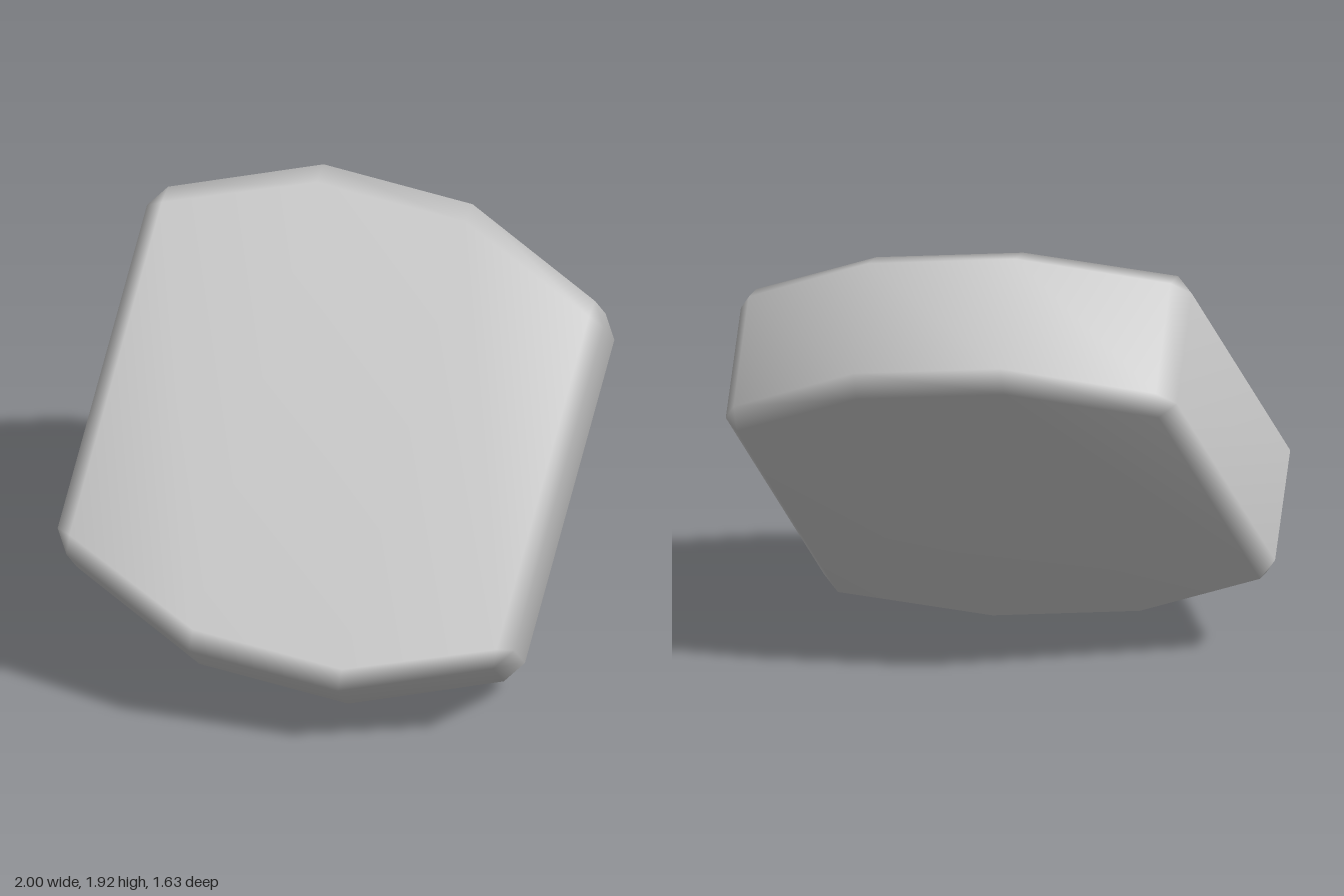
import * as THREE from 'three';

// Cross-sections along the block's width: [offset, half length, half depth, inner half length, outer half depth]
const SECTIONS = [
  [-0.92, 0.65, 0.24, 0.65, 0.24],
  [-0.86, 0.74, 0.24, 0.67, 0.31],
  [-0.30, 0.98, 0.24, 0.90, 0.31],
  [0.30, 0.98, 0.24, 0.90, 0.31],
  [0.86, 0.74, 0.24, 0.67, 0.31],
  [0.92, 0.65, 0.24, 0.65, 0.24],
];

// Chamfered block with bowed ends, sharing vertices for smooth shading
function blockGeometry() {
  const positions = [], index = [];
  const rings = SECTIONS.map(([x, y, z, yIn, zOut]) => {
    const ring = [];
    let last = -1;
    const corners = [
      [y, -z], [y, z], [yIn, zOut], [-yIn, zOut],
      [-y, z], [-y, -z], [-yIn, -zOut], [yIn, -zOut],
    ];
    const seen = new Map();
    for (const [cy, cz] of corners) {
      // coinciding corners of the end sections become one vertex
      const key = `${cy},${cz}`;
      if (!seen.has(key)) {
        last = positions.length / 3;
        positions.push(x, cy, cz);
        seen.set(key, last);
      }
      ring.push(seen.get(key));
    }
    return ring;
  });
  const tri = (a, b, c) => {
    if (a !== b && b !== c && a !== c) index.push(a, b, c);
  };

  // skin between neighbouring sections
  for (let i = 0; i < rings.length - 1; i++) {
    for (let j = 0; j < 8; j++) {
      const k = (j + 1) % 8;
      const a = rings[i][j], b = rings[i][k], c = rings[i + 1][k], d = rings[i + 1][j];
      tri(a, b, c);
      tri(a, c, d);
    }
  }
  // flat side caps
  const [l0, l1, l2, l3] = [...new Set(rings[0])];
  tri(l0, l2, l1);
  tri(l0, l3, l2);
  const [r0, r1, r2, r3] = [...new Set(rings[rings.length - 1])];
  tri(r0, r1, r2);
  tri(r0, r2, r3);

  const geometry = new THREE.BufferGeometry();
  geometry.setAttribute('position', new THREE.Float32BufferAttribute(positions, 3));
  geometry.setIndex(index);
  geometry.computeVertexNormals();
  return geometry;
}

export function createModel() {
  const grey = new THREE.MeshStandardMaterial({ color: 0xcccccc });
  grey.name = 'plainGrey';

  const block = new THREE.Mesh(blockGeometry(), grey);
  block.name = 'chamferedBlock';

  // lean the block back and roll it slightly
  const across = new THREE.Vector3(0.985, -0.163, -0.058).normalize();
  const along = new THREE.Vector3(0.088, 0.782, -0.617);
  const facing = new THREE.Vector3().crossVectors(across, along).normalize();
  along.crossVectors(facing, across);
  block.quaternion.setFromRotationMatrix(new THREE.Matrix4().makeBasis(across, along, facing));
  block.position.y = 0.957;

  const model = new THREE.Group();
  model.name = 'tiltedBlock';
  model.add(block);
  return model;
}
